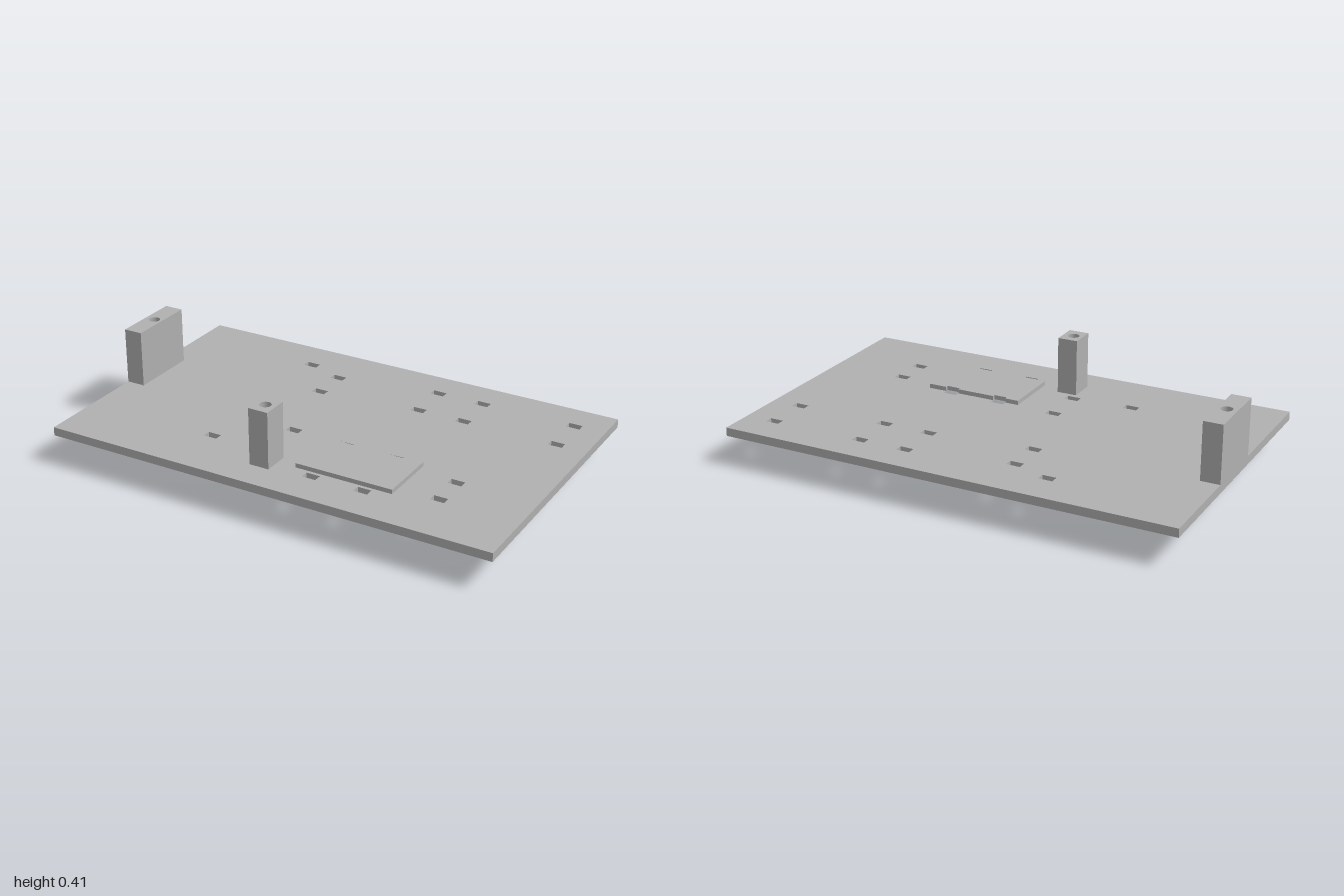
import * as THREE from 'three';

const BOTTOM = 0.125, TOP = 0.162;

// Closed outline from [x, z] points
const outline = (Type, pts) => new Type(pts.map(([x, z]) => new THREE.Vector2(x, z)));
const rect = (Type, x0, x1, z0, z1) => outline(Type, [[x0, z0], [x1, z0], [x1, z1], [x0, z1]]);
const circle = (x, z, r) => new THREE.Path().absarc(x, z, r, 0, Math.PI * 2, true);

// Extrude an outline lying in the x/z plane between two heights
function slab(shape, holes, y0, y1) {
  shape.holes.push(...holes);
  const geo = new THREE.ExtrudeGeometry(shape, { depth: y1 - y0, bevelEnabled: false, curveSegments: 24 });
  return geo.rotateX(Math.PI / 2).translate(0, y1, 0);
}

export function createModel() {
  const model = new THREE.Group();
  model.name = 'mountingBoard';
  const grey = new THREE.MeshStandardMaterial({ color: 0xb0b0b0 });
  grey.name = 'plain grey';

  const add = (name, geo) => {
    const mesh = new THREE.Mesh(geo, grey);
    mesh.name = name;
    model.add(mesh);
  };

  // Strap slots, by centre
  const slots = [
    [-0.39, -0.45], [-0.39, 0.35], [-0.22, -0.39], [-0.22, -0.23],
    [0.235, -0.468], [0.235, -0.28], [0.445, -0.468], [0.445, -0.28],
    [0.865, -0.468], [0.865, -0.28], [-0.125, 0.142], [-0.125, 0.33],
    [0.14, 0.45], [0.37, 0.45], [0.655, 0.212], [0.655, 0.362],
  ].map(([x, z]) => rect(THREE.Path, x - 0.03, x + 0.03, z - 0.018, z + 0.018));

  // Pad footprint: its back edge is crossed by two more slots
  const x0 = 0.05, x1 = 0.482, z0 = 0.155, z1 = 0.417;
  const padOutline = (Type, notchZ) => {
    const pts = [[x0, z0]];
    for (const x of [0.14, 0.37])
      pts.push([x - 0.03, z0], [x - 0.03, notchZ], [x + 0.03, notchZ], [x + 0.03, z0]);
    pts.push([x1, z0], [x1, z1], [x0, z1]);
    return outline(Type, pts);
  };

  // Posts with a vertical bore that continues through the board
  const posts = [
    { name: 'widePost', box: [-1, -0.917, -0.203, 0.103], hole: [-0.955, -0.05] },
    { name: 'narrowPost', box: [-0.122, -0.034, 0.37, 0.485], hole: [-0.08, 0.425] },
  ];
  const bores = () => posts.map((p) => circle(...p.hole, 0.025));

  add('board', slab(rect(THREE.Shape, -1, 1, -0.618, 0.618),
    [...slots, ...bores(), padOutline(THREE.Path, 0.133)], BOTTOM, TOP));
  add('raisedPad', slab(padOutline(THREE.Shape, 0.168), [], TOP, 0.181));
  for (const p of posts)
    add(p.name, slab(rect(THREE.Shape, ...p.box), [circle(...p.hole, 0.025)], TOP, 0.41));

  // Ribs and feet under the board: x0, x1, z0, z1, lowest height
  const under = [
    ['longRib', -0.712, -0.357, 0.319, 0.334, 0.088],
    ['longRib', -0.712, -0.357, -0.428, -0.413, 0.088],
    ['smallFoot', 0.205, 0.26, -0.42, -0.3, 0.093],
    ['smallFoot', 0.416, 0.471, -0.42, -0.3, 0.093],
    ['smallFoot', 0.837, 0.892, -0.42, -0.3, 0.093],
    ['mediumFoot', -0.155, -0.1, 0.2, 0.262, 0.053],
    ['tallFoot', 0.627, 0.682, 0.255, 0.325, 0],
  ];
  for (const [name, xa, xb, za, zb, y] of under)
    add(name, slab(rect(THREE.Shape, xa, xb, za, zb), [], y, BOTTOM));

  return model;
}
